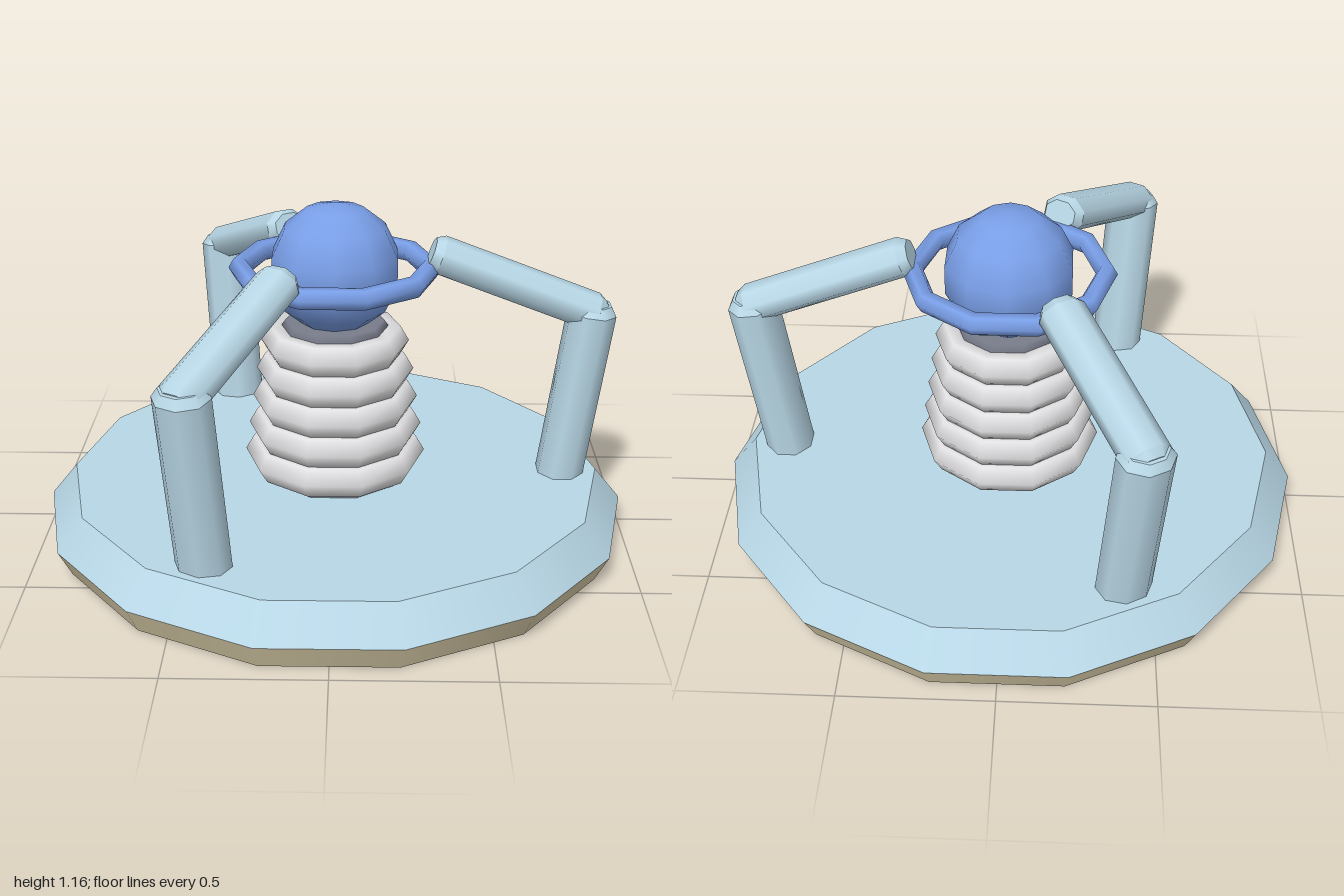
import * as THREE from 'three';

const paint = (name, color) => {
  const m = new THREE.MeshStandardMaterial({ color });
  m.name = name;
  return m;
};

export function createModel() {
  const paleBlue = paint('paleBlue', 0xb8d7e6);
  const tan = paint('tan', 0xdfd2ad);
  const slate = paint('slate', 0x787c8a);
  const grey = paint('lightGrey', 0xe0e0e2);
  const blue = paint('blue', 0x7da3ee);

  const model = new THREE.Group();
  model.name = 'model';
  const add = (name, geometry, material, parent = model) => {
    const mesh = new THREE.Mesh(geometry, material);
    mesh.name = name;
    parent.add(mesh);
    return mesh;
  };

  // Fourteen-sided base with a vertex on the x axis
  const tier = (name, rTop, rBottom, y0, y1, material) => {
    const g = new THREE.CylinderGeometry(rTop, rBottom, y1 - y0, 14, 1, true);
    g.rotateY(Math.PI / 2).translate(0, (y0 + y1) / 2, 0);
    add(name, g, material);
  };
  tier('baseLowerRim', 1, 0.955, 0, 0.09, tan);
  tier('baseUpperRim', 0.91, 1, 0.09, 0.2, paleBlue);
  add('baseTop', new THREE.CircleGeometry(0.91, 14).rotateX(-Math.PI / 2), paleBlue).position.y = 0.2;
  add('baseUnderside', new THREE.CircleGeometry(0.955, 14).rotateX(Math.PI / 2), slate);

  // Bellows: tapered core with a chamfered top, wrapped by stacked rings
  const core = [[0.25, 0.2], [0.178, 0.735], [0.165, 0.752], [0, 0.752]]
    .map(([r, y]) => new THREE.Vector2(r, y));
  add('bellowsCore', new THREE.LatheGeometry(core, 10).rotateY(Math.PI / 2), slate);
  [0.31, 0.296, 0.281, 0.267, 0.25].forEach((outer, i) => {
    const ring = new THREE.TorusGeometry(outer - 0.058, 0.058, 6, 10).rotateX(Math.PI / 2);
    add('bellowsRing', ring, grey).position.y = 0.27 + i * 0.1022;
  });

  // Ball and the hoop around it
  add('ball', new THREE.SphereGeometry(0.223, 10, 7).rotateY(Math.PI / 2), blue).position.y = 0.936;
  add('hoop', new THREE.TorusGeometry(0.318, 0.036, 6, 10).rotateX(Math.PI / 2), blue).position.y = 0.933;

  // Bar with chamfered ends between two points of the xy plane
  const bar = (name, a, b, across, width, parent) => {
    const from = new THREE.Vector2(...a), d = new THREE.Vector2(...b).sub(from);
    const L = d.length(), c = 0.03;
    const profile = [[0, 0], [0.75, 0], [1, c], [1, L - c], [0.75, L], [0, L]]
      .map(([r, y]) => new THREE.Vector2(r, y));
    // Each straight stretch of the profile is its own lathe, so its ends stay sharp
    const group = new THREE.Group();
    group.name = name;
    for (let i = 0; i < profile.length - 1; i++) {
      const g = new THREE.LatheGeometry([profile[i], profile[i + 1]], 8);
      g.rotateY(Math.PI / 8).scale(across / 0.924, 1, width / 0.924);
      add(name + 'Part', g, paleBlue, group);
    }
    group.position.set(a[0], a[1], 0);
    group.rotation.z = Math.atan2(d.y, d.x) - Math.PI / 2;
    parent.add(group);
  };

  // Three jointed arms reaching from the base to the hoop
  for (let i = 0; i < 3; i++) {
    const arm = new THREE.Group();
    arm.name = 'arm';
    bar('lowerArm', [0.779, 0.16], [0.864, 0.818], 0.077, 0.087, arm);
    bar('upperArm', [0.32, 0.993], [0.895, 0.775], 0.059, 0.074, arm);
    arm.rotation.y = (i * Math.PI * 2) / 3;
    model.add(arm);
  }
  return model;
}
